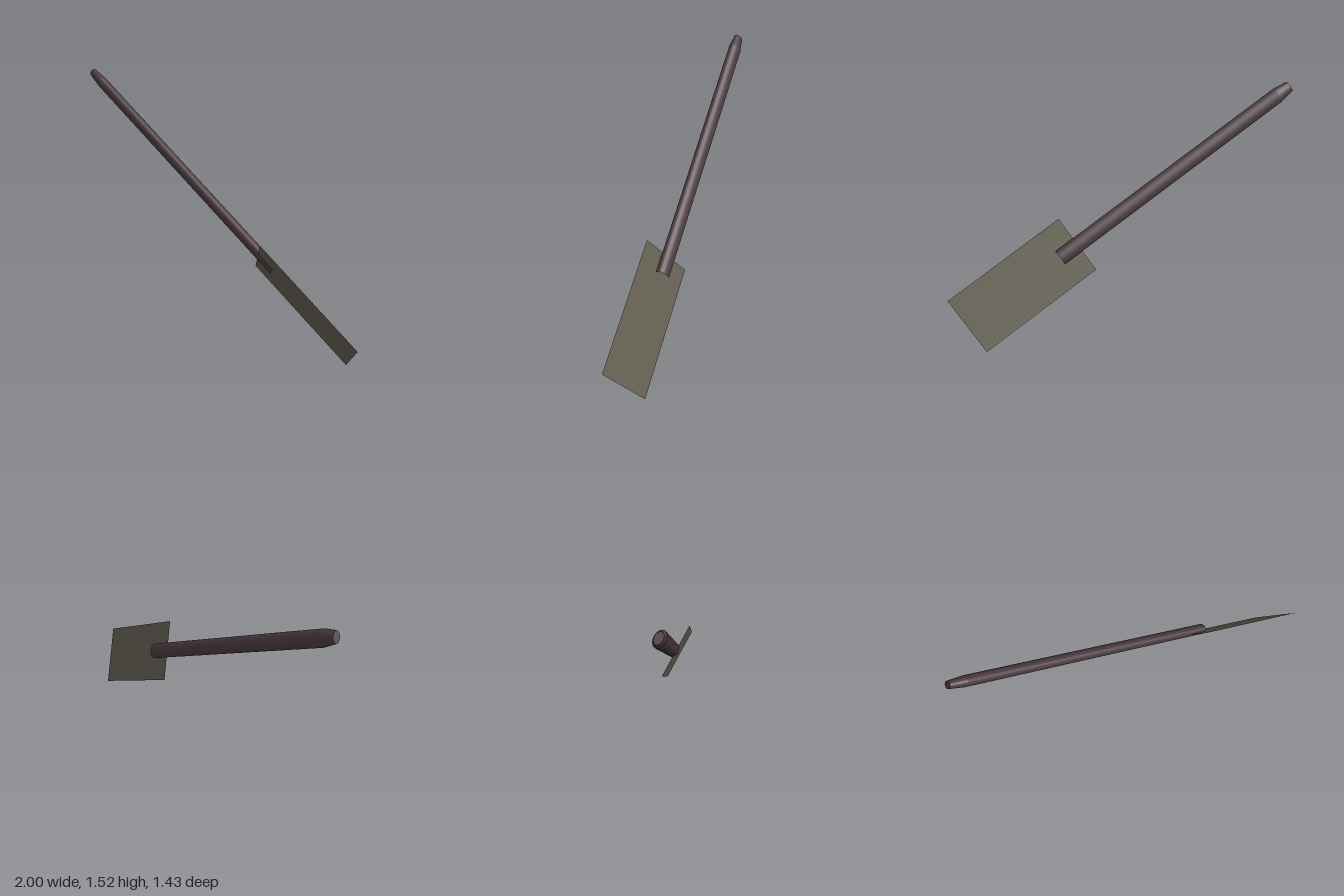
import * as THREE from 'three';

export function createModel() {
  const model = new THREE.Group();
  model.name = 'paddle';

  const wood = new THREE.MeshStandardMaterial({ color: 0x4b3b40 });
  wood.name = 'dark wood';
  const metal = new THREE.MeshStandardMaterial({ color: 0x625e51, side: THREE.DoubleSide });
  metal.name = 'olive grey metal';

  const add = (name, geometry, material, y, z = 0) => {
    const mesh = new THREE.Mesh(geometry, material);
    mesh.name = name;
    mesh.position.set(0, y, z);
    model.add(mesh);
    return mesh;
  };

  // Local frame: blade flat in XY, handle running up +Y
  const A = 0.053, FLAT = 0.66, TIP = 0.037;      // handle half width, flattening, tip half width
  const start = 0.303, shoulder = 2.135, end = 2.238;
  const sides = 20, offset = -0.02;

  // Flat rectangular blade
  add('blade', new THREE.PlaneGeometry(0.42, 0.892), metal, 0);

  // Oval handle, open where it meets the blade
  const shaft = new THREE.CylinderGeometry(A, A, shoulder - start, sides, 1, true);
  shaft.scale(1, 1, FLAT);
  add('handle', shaft, wood, (start + shoulder) / 2, offset);

  // Tapered, closed handle end
  const taper = new THREE.CylinderGeometry(TIP, A, end - shoulder, sides, 1, true);
  taper.scale(1, 1, FLAT);
  add('handleTaper', taper, wood, (shoulder + end) / 2, offset);

  const cap = new THREE.CircleGeometry(TIP, sides);
  cap.rotateX(-Math.PI / 2);
  cap.scale(1, 1, FLAT);
  add('handleCap', cap, wood, end, offset);

  // Lean the whole tool diagonally
  const up = new THREE.Vector3(-0.734, 0.491, -0.471).normalize();
  const across = new THREE.Vector3(0.119, 0.775, 0.625);
  across.addScaledVector(up, -across.dot(up)).normalize();
  const face = new THREE.Vector3().crossVectors(across, up);
  model.quaternion.setFromRotationMatrix(new THREE.Matrix4().makeBasis(across, up, face));
  model.position.set(0.6475, 0.381, 0.378);

  const root = new THREE.Group();
  root.name = 'model';
  root.add(model);
  return root;
}
